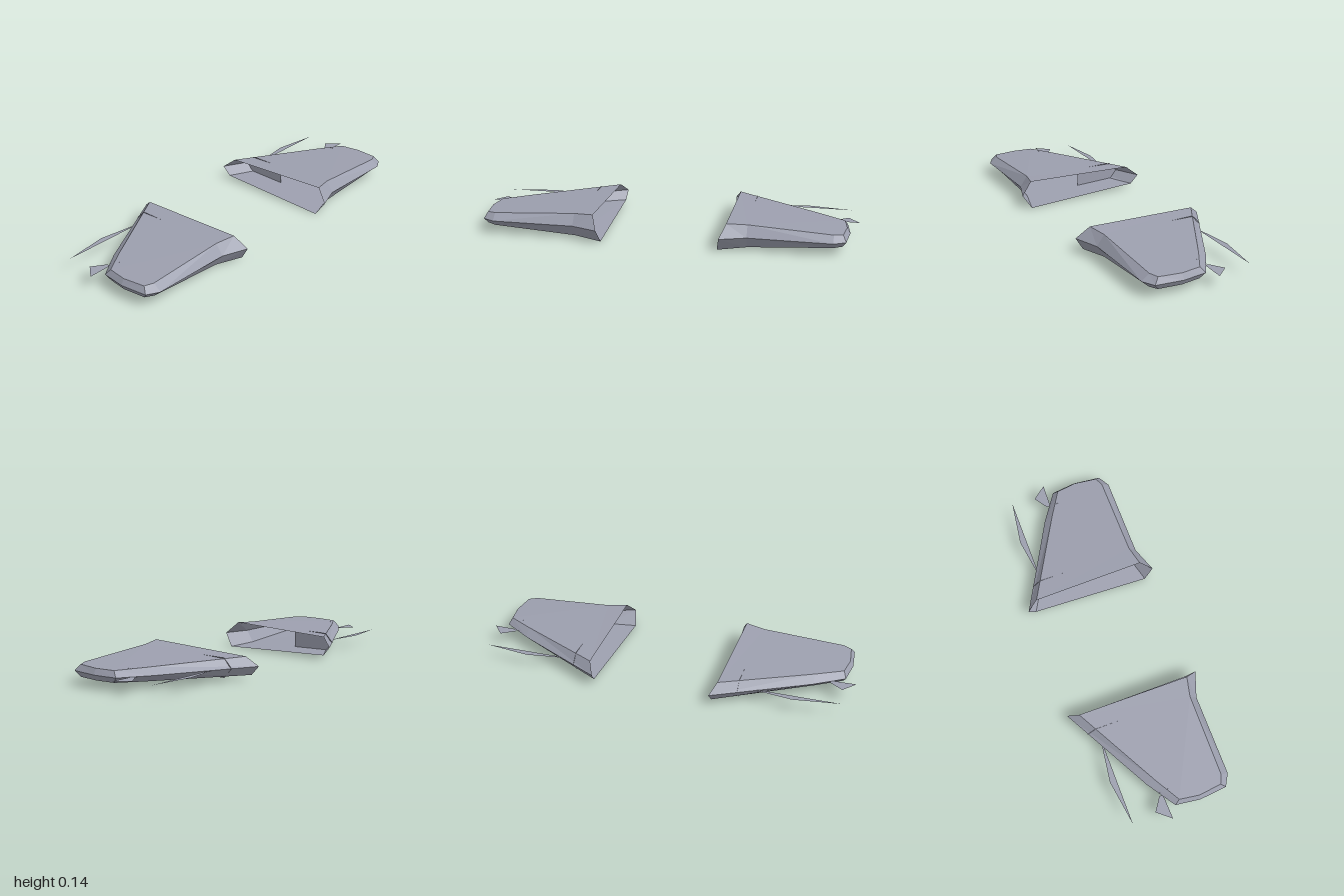
import * as THREE from 'three';

const metal = new THREE.MeshStandardMaterial({ color: 0x9c9fae, side: THREE.DoubleSide, flatShading: true });
metal.name = 'blueGreyMetal';

// Wing outlines as [x, y, z], running from the inner rear corner round the tip to the inner front corner
const top = [
  [0.34, 0.117, -0.3], [0.79, 0.104, -0.055], [0.925, 0.1, 0.025], [0.94, 0.1, 0.13],
  [0.925, 0.102, 0.25], [0.88, 0.105, 0.27], [0.45, 0.129, 0.27], [0.345, 0.136, 0.293],
];
const middle = [
  [0.31, 0.069, -0.358], [0.79, 0.07, -0.1], [0.94, 0.07, 0], [0.957, 0.07, 0.13],
  [0.942, 0.071, 0.275], [0.88, 0.072, 0.31], [0.45, 0.073, 0.31], [0.315, 0.073, 0.358],
];
const bottom = [
  [0.315, 0.022, -0.317], [0.79, 0.036, -0.055], [0.925, 0.041, 0.025], [0.94, 0.041, 0.13],
  [0.925, 0.04, 0.25], [0.88, 0.037, 0.27], [0.45, 0.01, 0.27], [0.302, 0, 0.31],
];

// Makes a mesh from triangles of points, mirrored to the chosen side
function surface(name, triangles, side) {
  const positions = [];
  for (const [a, b, c] of triangles) {
    for (const p of side > 0 ? [a, b, c] : [a, c, b]) positions.push(p[0] * side, p[1], p[2]);
  }
  const geometry = new THREE.BufferGeometry();
  geometry.setAttribute('position', new THREE.Float32BufferAttribute(positions, 3));
  geometry.computeVertexNormals();
  const mesh = new THREE.Mesh(geometry, metal);
  mesh.name = name;
  return mesh;
}

// Fills an outline, facing up or down
function skin(ring, up) {
  const outline = ring.map(([x, , z]) => new THREE.Vector2(x, z));
  return THREE.ShapeUtils.triangulateShape(outline, []).map(([i, j, k]) => {
    const [a, b, c] = [outline[i], outline[j], outline[k]];
    const facesDown = (b.x - a.x) * (c.y - a.y) - (b.y - a.y) * (c.x - a.x) > 0;
    return facesDown === up ? [ring[i], ring[k], ring[j]] : [ring[i], ring[j], ring[k]];
  });
}

// Bevelled band between two outlines, left open at the wing root
function band(upper, lower) {
  const triangles = [];
  for (let i = 0; i < upper.length - 1; i++) {
    triangles.push([upper[i], upper[i + 1], lower[i]], [upper[i + 1], lower[i + 1], lower[i]]);
  }
  return triangles;
}

// Fan over a convex flat outline
const fan = (points) => points.slice(2).map((p, i) => [points[0], points[i + 1], p]);

// Upright rib across the wing's thickness, pointed at the leading edge
const rib = (x, tip, shoulder, end, high, low) => fan([
  [x, 0.07, tip], [x, high, shoulder], [x, high, end], [x, low, end], [x, low, shoulder],
]);

function wing(side) {
  const group = new THREE.Group();
  group.name = side > 0 ? 'leftWing' : 'rightWing';
  const level = (points) => fan(points.map(([x, z]) => [x, 0.07, z]));
  group.add(
    surface('topSkin', skin(top, true), side),
    surface('bottomSkin', skin(bottom, false), side),
    surface('upperEdge', band(top, middle), side),
    surface('lowerEdge', band(middle, bottom), side),
    surface('innerRib', rib(0.44, -0.291, -0.245, -0.04, 0.118, 0.018), side),
    surface('outerRib', rib(0.855, -0.059, -0.012, 0.065, 0.103, 0.039), side),
    // Thin blades ahead of the wing
    surface('longBlade', level([[0.53, -0.235], [0.53, -0.243], [0.715, -0.27], [0.957, -0.235]]), side),
    surface('tipBlade', level([[0.87, -0.04], [0.87, -0.06], [0.94, -0.108], [1, -0.036]]), side),
  );
  return group;
}

export function createModel() {
  const model = new THREE.Group();
  model.name = 'wingPair';
  for (const side of [1, -1]) model.add(wing(side));
  return model;
}
